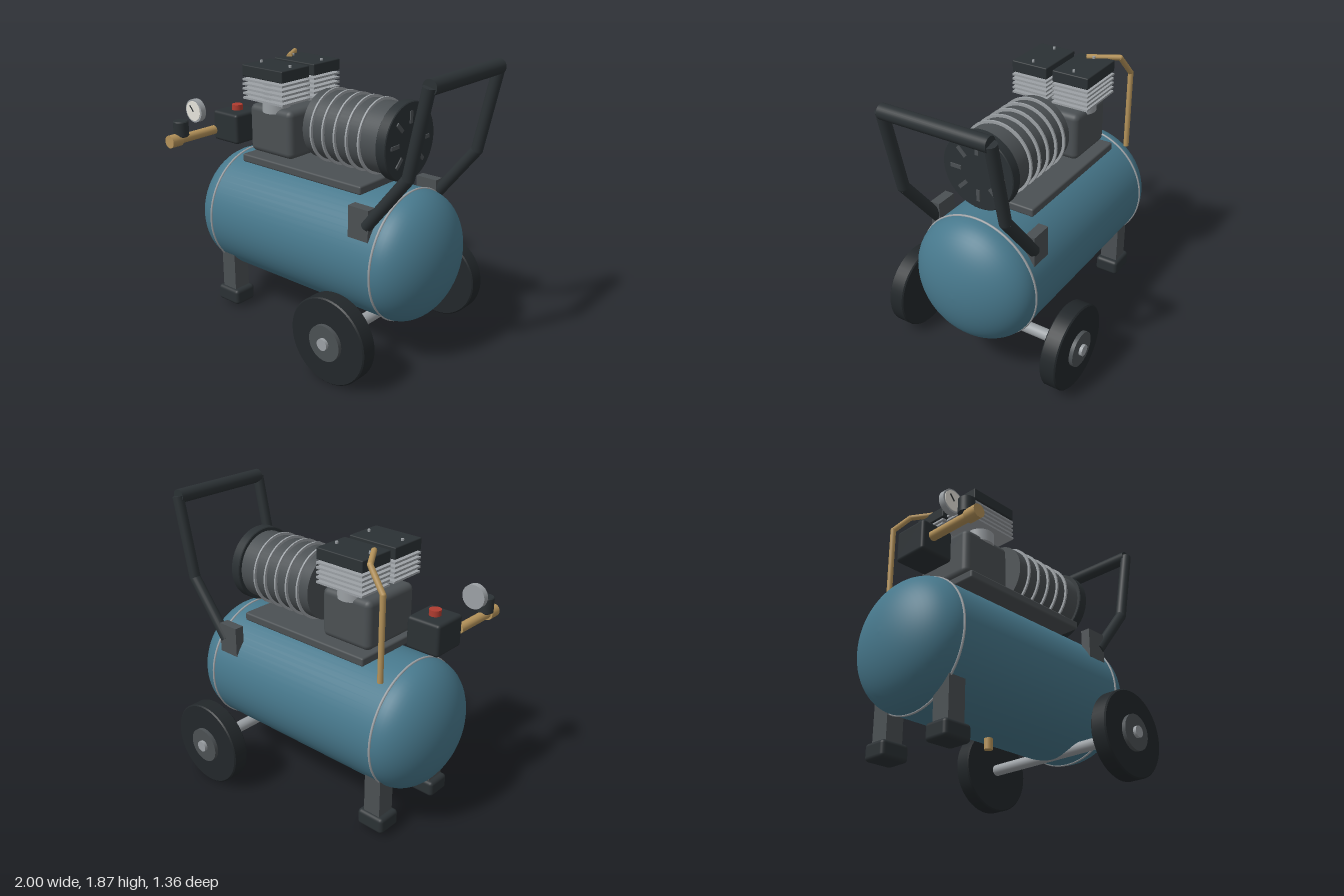
import * as THREE from 'three';
import { RoundedBoxGeometry } from 'three/addons/geometries/RoundedBoxGeometry.js';

const paint = (color) => new THREE.MeshStandardMaterial({ color });
const BLUE = paint(0x47788c), BLACK = paint(0x2b3134), RUBBER = paint(0x22272a), IRON = paint(0x4b5053),
  STEEL = paint(0x9ca1a5), BRASS = paint(0xb5935a), RED = paint(0xb03c30), WHITE = paint(0xe6e4dc);

export function createModel() {
  const model = new THREE.Group();

  const add = (name, geometry, material, x = 0, y = 0, z = 0, parent = model) => {
    const mesh = new THREE.Mesh(geometry, material);
    mesh.name = name;
    mesh.position.set(x, y, z);
    parent.add(mesh);
    return mesh;
  };
  const group = (name, x = 0, y = 0, z = 0) => {
    const g = new THREE.Group();
    g.name = name;
    g.position.set(x, y, z);
    model.add(g);
    return g;
  };
  const box = (w, h, d) => new THREE.BoxGeometry(w, h, d);
  const rounded = (w, h, d, r) => new RoundedBoxGeometry(w, h, d, 3, r);
  // Turn a geometry built along y so that it runs along another axis
  const along = (g, axis) => axis === 'x' ? g.rotateZ(-Math.PI / 2) : axis === 'z' ? g.rotateX(Math.PI / 2) : g;
  const cyl = (r, length, axis = 'y', sides = 32) => along(new THREE.CylinderGeometry(r, r, length, sides), axis);
  // Disc with chamfered edges
  const disc = (r, length, bevel, axis) => {
    const h = length / 2;
    const pts = [[0, -h], [r - bevel, -h], [r - bevel, -h], [r, -h + bevel], [r, -h + bevel],
      [r, h - bevel], [r, h - bevel], [r - bevel, h], [r - bevel, h], [0, h]];
    return along(new THREE.LatheGeometry(pts.map(([a, b]) => new THREE.Vector2(a, b)), 48), axis);
  };
  // Pipe with straight runs and ball joints at the bends
  const pipe = (name, points, r, material, sides = 20) => {
    const g = group(name);
    const v = points.map((p) => new THREE.Vector3(...p));
    for (let i = 0; i < v.length - 1; i++) {
      const dir = v[i + 1].clone().sub(v[i]);
      const mid = v[i].clone().add(v[i + 1]).multiplyScalar(0.5);
      const run = add('pipeRun', cyl(r, dir.length(), 'y', sides), material, mid.x, mid.y, mid.z, g);
      run.quaternion.setFromUnitVectors(new THREE.Vector3(0, 1, 0), dir.normalize());
      if (i > 0) add('pipeBend', new THREE.SphereGeometry(r, sides, 12), material, v[i].x, v[i].y, v[i].z, g);
    }
    return g;
  };

  // Tank with domed ends
  const R = 0.42, tankY = 0.67, x0 = -0.735, x1 = 0.625, dome = 0.265;
  const profile = [];
  for (let i = 0; i <= 16; i++) {
    const a = (i / 16) * Math.PI / 2;
    profile.push(new THREE.Vector2(R * Math.sin(a), x0 - dome * Math.cos(a)));
  }
  for (let i = 16; i >= 0; i--) {
    const a = (i / 16) * Math.PI / 2;
    profile.push(new THREE.Vector2(R * Math.sin(a), x1 + dome * Math.cos(a)));
  }
  add('tank', along(new THREE.LatheGeometry(profile, 64), 'x'), BLUE, 0, tankY, 0);
  for (const x of [x0, x1]) {
    add('tankWeld', new THREE.TorusGeometry(R, 0.008, 8, 64).rotateY(Math.PI / 2), STEEL, x, tankY, 0);
  }
  add('drainValve', cyl(0.027, 0.1), BRASS, -0.125, 0.23, 0);

  // Wheels and axle
  const wx = 0.485, wy = 0.285;
  add('axle', cyl(0.038, 1.2, 'z'), STEEL, wx, wy, 0);

  for (const s of [1, -1]) {
    // Front legs with rubber feet
    add('leg', box(0.12, 0.3, 0.125), IRON, -0.69, 0.25, s * 0.26);
    add('foot', rounded(0.195, 0.11, 0.17, 0.025), BLACK, -0.69, 0.085, s * 0.26);

    const wheel = group('wheel', wx, wy, s * 0.58);
    add('tyre', disc(0.28, 0.11, 0.008, 'z'), RUBBER, 0, 0, 0, wheel);
    add('hub', cyl(0.115, 0.04, 'z', 40), IRON, 0, 0, s * 0.06, wheel);
    add('axleCap', cyl(0.037, 0.05, 'z'), STEEL, 0, 0, s * 0.075, wheel);

    // Handle side tubes and their brackets
    add('handleBracket', box(0.15, 0.2, 0.065), IRON, 0.505, 0.96, s * 0.345);
    pipe('handleTube', [[0.55, 0.95, s * 0.354], [0.835, 1.305, s * 0.354], [0.95, 1.835, s * 0.354]], 0.037, BLACK);

    // Cylinder banks: core, cooling fins, head and bolts
    const bank = group('cylinderBank', -0.36, 0, s * 0.147);
    add('cylinderCore', cyl(0.09, 0.24), STEEL, 0, 1.56, 0, bank);
    for (let i = 0; i < 5; i++) add('coolingFin', box(0.35, 0.013, 0.253), STEEL, 0, 1.525 + i * 0.03, 0, bank);
    add('cylinderHead', rounded(0.35, 0.075, 0.253, 0.007), BLACK, 0, 1.703, 0, bank);
    for (const bx of [-0.127, 0.127]) add('headBolt', cyl(0.01, 0.02, 'y', 6), STEEL, bx, 1.745, 0, bank);
  }
  add('handleGrip', cyl(0.046, 0.704, 'z'), BLACK, 0.95, 1.833, 0);

  // Mounting plate and crankcase
  add('mountingPlate', rounded(0.995, 0.055, 0.555, 0.012), IRON, -0.057, 1.118, 0);
  add('crankcase', rounded(0.37, 0.32, 0.43, 0.04), IRON, -0.36, 1.315, 0);

  // Motor with rings and slotted fan cover
  const motor = group('motor', 0, 1.387, 0);
  add('motorBody', cyl(0.222, 0.59, 'x', 48), IRON, 0.23, 0, 0, motor);
  for (let i = 0; i < 5; i++) add('motorRing', cyl(0.239, 0.012, 'x', 48), STEEL, 0.013 + i * 0.093, 0, 0, motor);
  add('fanCover', disc(0.246, 0.072, 0.005, 'x'), BLACK, 0.555, 0, 0, motor);
  for (let i = 0; i < 8; i++) {
    const a = (i / 8) * Math.PI * 2;
    const slot = add('fanSlot', box(0.012, 0.075, 0.024), IRON, 0.592, 0.153 * Math.cos(a), 0.153 * Math.sin(a), motor);
    slot.rotation.x = a;
  }

  // Delivery pipe from the head down to the tank
  pipe('deliveryPipe', [[-0.475, 1.745, -0.1], [-0.595, 1.738, -0.28], [-0.71, 1.6, -0.305], [-0.71, 1.06, -0.305]], 0.018, BRASS, 12);

  // Pressure switch
  add('pressureSwitch', rounded(0.23, 0.205, 0.24, 0.02), BLACK, -0.78, 1.268, 0.1);
  add('switchButton', cyl(0.037, 0.045), RED, -0.78, 1.385, 0.1);

  // Outlet pipe, coupling and regulator knob
  const ox = -0.85;
  add('outletPipe', cyl(0.03, 0.32, 'z'), BRASS, ox, 1.248, 0.415);
  add('outletCoupling', cyl(0.042, 0.085, 'z'), BRASS, ox, 1.248, 0.597);
  add('regulatorKnob', disc(0.05, 0.105, 0.006, 'y'), BLACK, ox, 1.318, 0.538);

  // Pressure gauge
  const gauge = group('gauge', ox, 1.412, 0.405);
  add('gaugeCase', cyl(0.077, 0.04, 'z', 40), STEEL, 0, 0, 0, gauge);
  add('gaugeFace', cyl(0.066, 0.008, 'z', 40), WHITE, 0, 0, 0.02, gauge);
  const needle = add('gaugeNeedle', box(0.007, 0.05, 0.005), BLACK, -0.013, 0.016, 0.025, gauge);
  needle.rotation.z = 0.7;

  return model;
}
